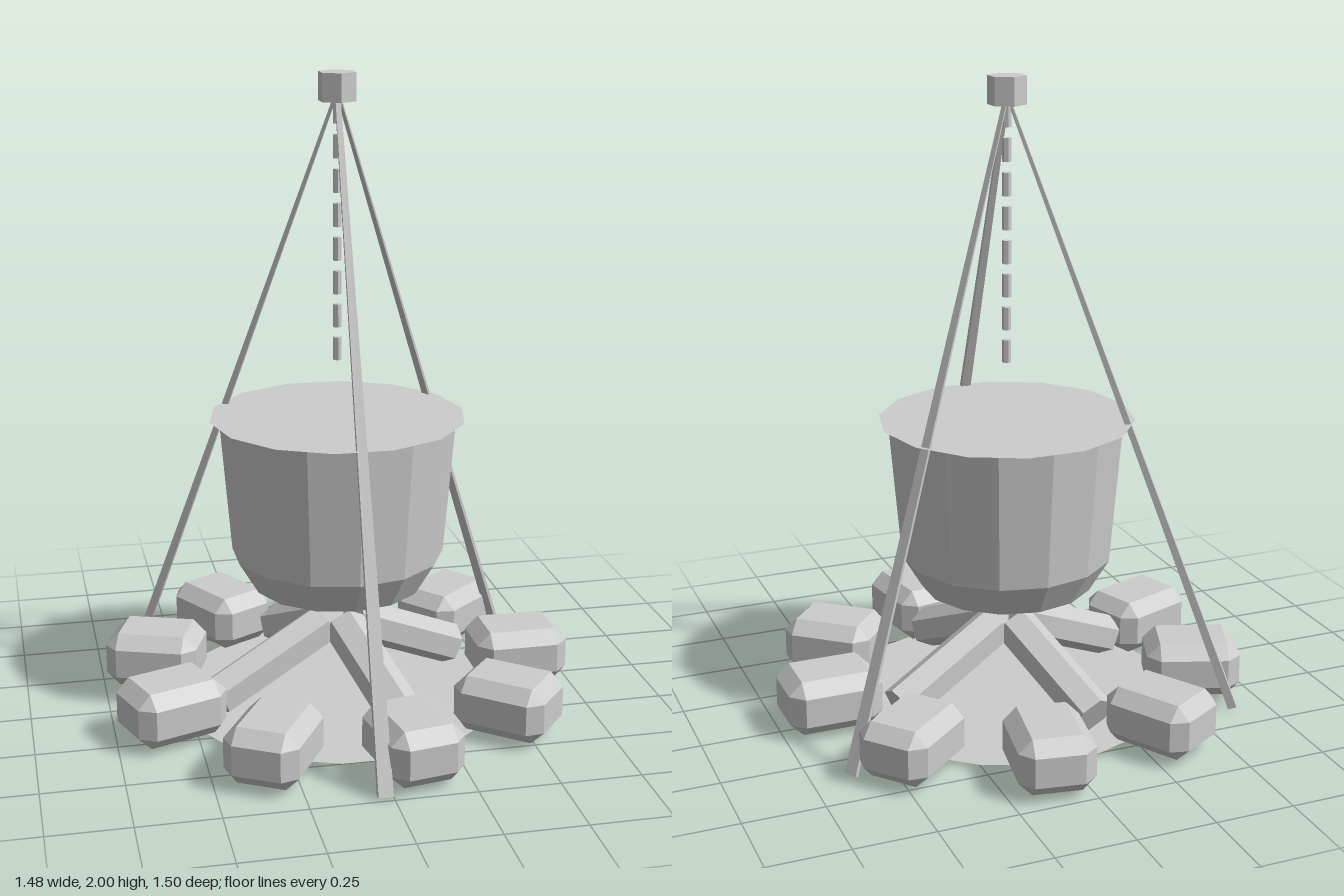
import * as THREE from 'three';
import { ConvexGeometry } from 'three/addons/geometries/ConvexGeometry.js';

const grey = new THREE.MeshStandardMaterial({ color: 0xcccccc, flatShading: true, side: THREE.DoubleSide });
grey.name = 'grey';

function add(parent, name, geometry) {
  const mesh = new THREE.Mesh(geometry, grey);
  mesh.name = name;
  parent.add(mesh);
  return mesh;
}

// Group turned about the y axis, so that its +x points outwards
function spoke(parent, name, degrees) {
  const group = new THREE.Group();
  group.name = name;
  group.rotation.y = THREE.MathUtils.degToRad(degrees);
  parent.add(group);
  return group;
}

// Lays an upright geometry of length 1 between two points of the xy plane
function strut(parent, name, geometry, [x0, y0], [x1, y1]) {
  const mesh = add(parent, name, geometry);
  mesh.position.set((x0 + x1) / 2, (y0 + y1) / 2, 0);
  mesh.rotation.z = Math.atan2(x0 - x1, y1 - y0);
  mesh.scale.y = Math.hypot(x1 - x0, y1 - y0);
  return mesh;
}

// Box with all edges and corners cut off
function bevelledBox(w, h, d, c) {
  const points = [];
  for (const x of [-1, 1]) for (const y of [-1, 1]) for (const z of [-1, 1]) {
    for (const [a, b, e] of [[0, c, c], [c, 0, c], [c, c, 0]]) {
      points.push(new THREE.Vector3(x * (w / 2 - a), y * (h / 2 - b), z * (d / 2 - e)));
    }
  }
  return new ConvexGeometry(points);
}

export function createModel() {
  const model = new THREE.Group();
  model.name = 'campfireWithPot';
  const body = new THREE.Group();
  body.name = 'campfire';
  body.position.x = -0.013;
  model.add(body);

  // Ash bed on the ground
  const ash = add(body, 'ashBed', new THREE.CircleGeometry(0.53, 18).rotateX(-Math.PI / 2));
  ash.position.y = 0.012;

  // Ring of stones
  const stoneGeometry = bevelledBox(0.3, 0.178, 0.235, 0.042);
  for (let i = 0; i < 9; i++) {
    const stone = add(spoke(body, 'stoneSpoke', i * 40), 'stone', stoneGeometry);
    stone.position.set(0.6, 0.103, 0);
  }

  // Logs leaning to the middle
  const logGeometry = new THREE.CylinderGeometry(0.068, 0.068, 1, 6).rotateY(Math.PI / 6);
  for (let i = 0; i < 4; i++) {
    strut(spoke(body, 'logSpoke', 17 + i * 90), 'log', logGeometry, [0.43, 0.08], [0.05, 0.25]);
  }

  // Pot with a sloping foot, and its flat contents
  const profile = [[0, 0.39], [0.272, 0.39], [0.335, 0.495], [0.372, 0.938]];
  add(body, 'pot', new THREE.LatheGeometry(profile.map(([x, y]) => new THREE.Vector2(x, y)), 14));
  const surface = add(body, 'potRim', new THREE.CircleGeometry(0.402, 14).rotateX(-Math.PI / 2));
  surface.position.y = 0.939;

  // Tapered tripod legs: angle, radial and tangential thickness
  for (const [angle, radial, tangential] of [[29, 0.012, 0.045], [148, 0.028, 0.016], [269, 0.026, 0.045]]) {
    const legGeometry = new THREE.CylinderGeometry(0.25, Math.SQRT1_2, 1, 4).rotateY(Math.PI / 4);
    legGeometry.scale(radial, 1, tangential);
    strut(spoke(body, 'legSpoke', angle), 'tripodLeg', legGeometry, [0.735, 0.005], [0.005, 1.93]);
  }

  // Cap where the legs meet
  const cap = add(body, 'tripodCap', new THREE.CylinderGeometry(0.06, 0.06, 0.086, 6));
  cap.position.y = 1.957;

  // Hanging chain
  const linkGeometry = new THREE.CylinderGeometry(0.014, 0.014, 0.072, 6);
  for (let i = 0; i < 8; i++) {
    const link = add(body, 'chainLink', linkGeometry);
    link.position.y = 1.155 + i * 0.104;
  }

  return model;
}
